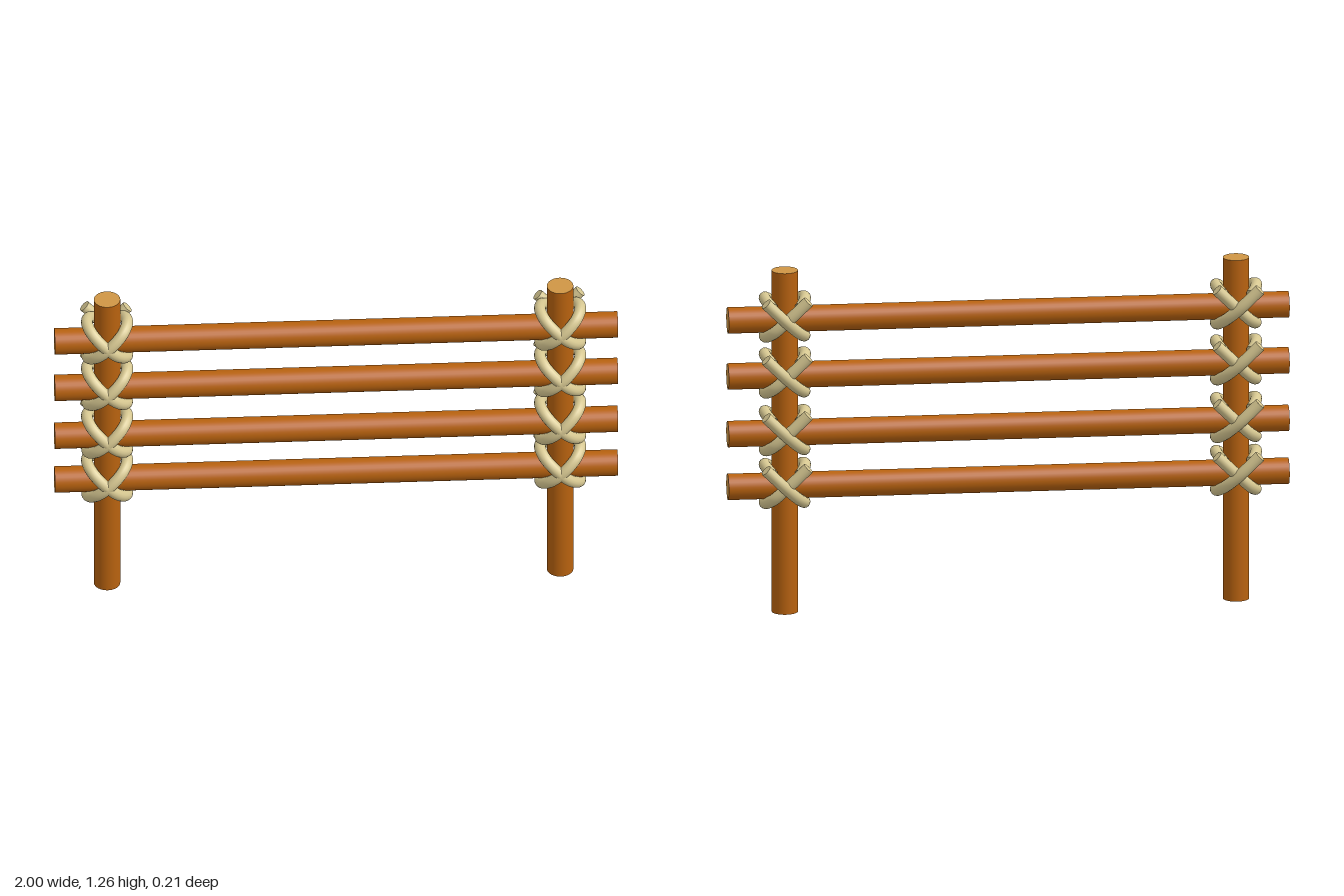
import * as THREE from 'three';

const bark = new THREE.MeshStandardMaterial({ color: 0xb8620f });
const cutWood = new THREE.MeshStandardMaterial({ color: 0xcf9645 });
const rope = new THREE.MeshStandardMaterial({ color: 0xd6c791 });

const LOG_R = 0.047, LOG_Z = 0.01, ROPE_R = 0.021;

// Round log with paler cut ends
function makeLog(name, length) {
  const geo = new THREE.CylinderGeometry(LOG_R, LOG_R, length, 32);
  const mesh = new THREE.Mesh(geo, [bark, cutWood, cutWood]);
  mesh.name = name;
  return mesh;
}

// One rope turn lying in a diagonal plane: dir = +1 leans to +x, -1 to -x.
// It is tucked in behind the post and its loose end crosses the back upwards.
function makeStrand(name, dir, backZ) {
  const profile = [ // [z, distance along the diagonal]
    [-0.05, 0.07], [-0.03, 0.09], [0.015, 0.101], [0.06, 0.075], [0.083, 0],
    [0.064, -0.065], [0.018, -0.1], [-0.04, -0.068], [backZ + 0.01, 0], [backZ, 0.108],
  ];
  const d = Math.SQRT1_2;
  const path = new THREE.CatmullRomCurve3(
    profile.map(([z, s]) => new THREE.Vector3(dir * s * d, s * d, z)));
  const group = new THREE.Group();
  group.name = name;
  const tube = new THREE.Mesh(new THREE.TubeGeometry(path, 72, ROPE_R, 14), rope);
  tube.name = 'ropeTurn';
  group.add(tube);
  // Flat ends
  for (const t of [0, 1]) {
    const cap = new THREE.Mesh(new THREE.CircleGeometry(ROPE_R, 14), rope);
    cap.name = 'ropeEnd';
    const out = path.getTangentAt(t).multiplyScalar(t ? 1 : -1);
    cap.position.copy(path.getPointAt(t));
    cap.quaternion.setFromUnitVectors(new THREE.Vector3(0, 0, 1), out);
    group.add(cap);
  }
  return group;
}

export function createModel() {
  const model = new THREE.Group();
  model.name = 'fence';
  const railHeights = [0.465, 0.66, 0.873, 1.08];
  const posts = [['rightPost', -0.813, -1], ['leftPost', 0.796, 1]];

  // Rails
  railHeights.forEach((y, i) => {
    const rail = makeLog(`rail${i + 1}`, 2);
    rail.rotation.z = Math.PI / 2;
    rail.position.set(0, y, LOG_Z);
    model.add(rail);
  });

  // Posts with a crossed lashing at every rail
  for (const [name, x, side] of posts) {
    const post = makeLog(name, 1.26);
    post.position.set(x, 0.63, LOG_Z);
    model.add(post);
    railHeights.forEach((y, i) => {
      const lashing = new THREE.Group();
      lashing.name = `${name}Lashing${i + 1}`;
      lashing.add(makeStrand('outerStrand', side, -0.083));
      lashing.add(makeStrand('innerStrand', -side, -0.07));
      lashing.position.set(x, y + 0.007, 0);
      model.add(lashing);
    });
  }
  return model;
}
